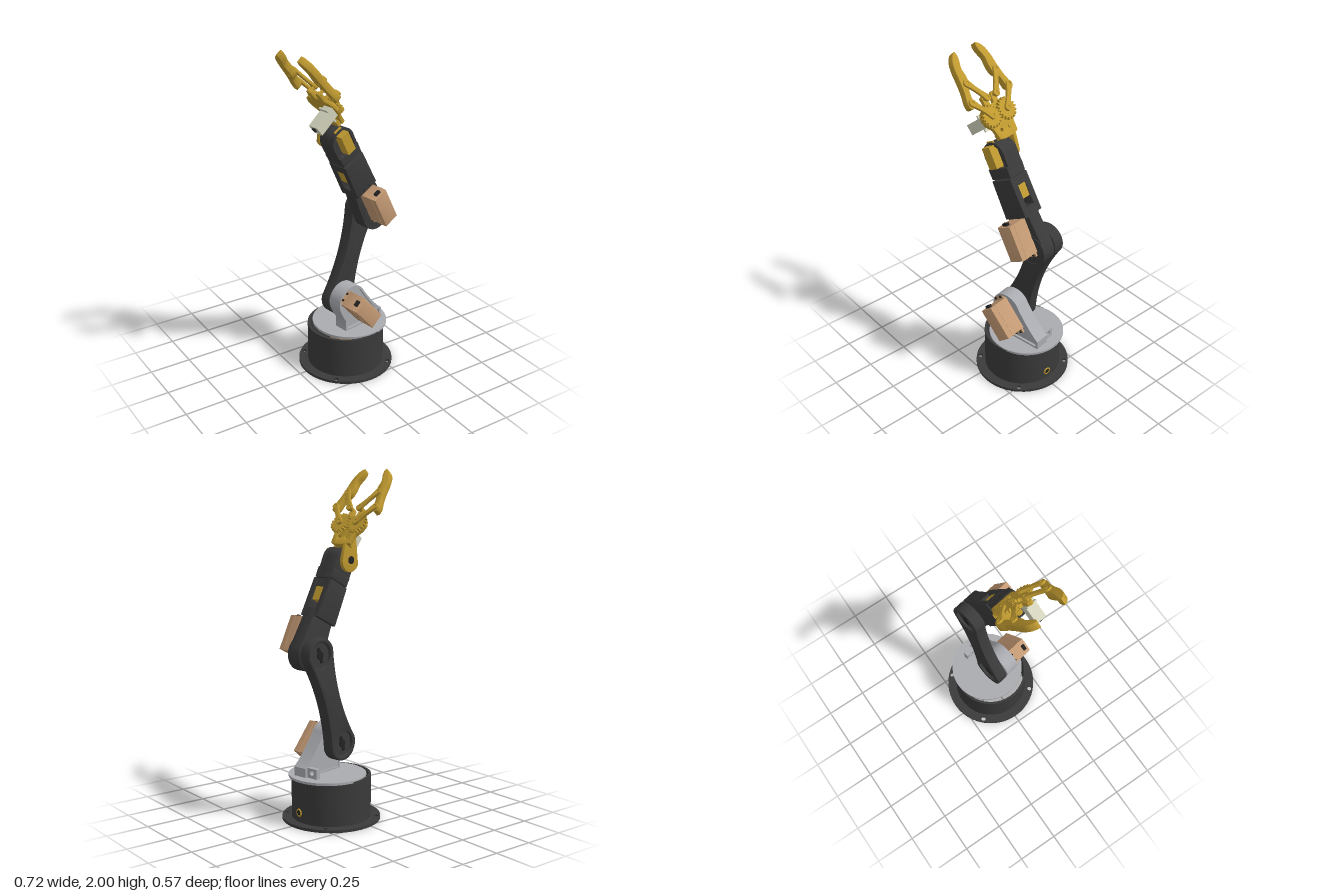
import * as THREE from 'three';
import { toCreasedNormals } from 'three/addons/utils/BufferGeometryUtils.js';

const mat = (color) => new THREE.MeshStandardMaterial({ color });
const DARK = mat(0x3a3a3a), GREY = mat(0xa9abb0), TAN = mat(0xc49a74), GOLD = mat(0xc09a30), PALE = mat(0xd2d2bc), BLACK = mat(0x222222);

function add(parent, name, geo, material, x = 0, y = 0, z = 0) {
  const m = new THREE.Mesh(geo, material);
  m.name = name;
  m.position.set(x, y, z);
  parent.add(m);
  return m;
}
function group(parent, name, x = 0, y = 0, z = 0) {
  const g = new THREE.Group();
  g.name = name;
  g.position.set(x, y, z);
  parent.add(g);
  return g;
}
const box = (parent, name, material, w, h, d, x, y, z) => add(parent, name, new THREE.BoxGeometry(w, h, d), material, x, y, z);

// Slab of a shape filling z0..z1, bevel kept inside that depth
function slab(shape, z0, z1, bevel = 0) {
  const g = new THREE.ExtrudeGeometry(shape, {
    depth: z1 - z0 - 2 * bevel, curveSegments: 24, bevelEnabled: bevel > 0,
    bevelThickness: bevel, bevelSize: bevel, bevelOffset: -bevel, bevelSegments: 2,
  });
  g.translate(0, 0, z0 + bevel);
  return toCreasedNormals(g, 0.6);
}
function hole(shape, x, y, r) {
  shape.holes.push(new THREE.Path().absarc(x, y, r, 0, Math.PI * 2, true));
  return shape;
}
const disc = (r, x = 0, y = 0) => new THREE.Shape().absarc(x, y, r, 0, Math.PI * 2, false);
const poly = (pts) => new THREE.Shape(pts.map((p) => new THREE.Vector2(p[0], p[1])));

// Limb outline along +y with two round ends and a given half width midway
function limb(L, r1, r2, waist) {
  const c = 2 * waist - (r1 + r2) / 2;
  const s = new THREE.Shape();
  s.moveTo(-r1, 0);
  s.absarc(0, 0, r1, Math.PI, Math.PI * 2, false);
  s.quadraticCurveTo(c, L / 2, r2, L);
  s.absarc(0, L, r2, 0, Math.PI, false);
  s.quadraticCurveTo(-c, L / 2, -r1, 0);
  return s;
}
// Straight sides from y0 to y1 with a round top
function tongue(w0, y0, w1, y1) {
  const s = new THREE.Shape();
  s.moveTo(-w0, y0);
  s.lineTo(w0, y0);
  s.lineTo(w1, y1);
  s.absarc(0, y1, w1, 0, Math.PI, false);
  s.closePath();
  return s;
}

// Servo lying with its long side on y, mounted at z = 0 and reaching to +z
function servo(parent, name, x, y, z, depth, angle) {
  const g = group(parent, name, x, y, z);
  g.rotation.z = angle;
  const body = poly([[-0.048, -0.105], [0.048, -0.105], [0.048, 0.105], [-0.048, 0.105]]);
  add(g, 'servoBody', slab(body, 0, depth, 0.005), TAN);
  box(g, 'servoSeam', TAN, 0.099, 0.213, 0.008, 0, 0, depth * 0.7);
  box(g, 'servoTab', TAN, 0.08, 0.26, 0.012, 0, 0, 0.012);
  box(g, 'servoPlug', BLACK, 0.035, 0.02, 0.02, 0, 0.11, depth * 0.8);
  for (const sx of [-1, 1]) for (const sy of [-1, 1]) {
    add(g, 'servoScrew', new THREE.SphereGeometry(0.008, 10, 8), BLACK, sx * 0.022, sy * 0.122, 0.018);
  }
  return g;
}

function buildBase(root) {
  const base = group(root, 'base', 0.075, 0, 0);
  const flange = hole(disc(0.285), 0, 0, 0.217);
  for (const a of [1, 3, 5, 7]) hole(flange, 0.262 * Math.cos(a * Math.PI / 4), 0.262 * Math.sin(a * Math.PI / 4), 0.014);
  add(base, 'baseFlange', slab(flange, 0, 0.016), DARK).rotation.x = -Math.PI / 2;
  add(base, 'baseWall', slab(hole(disc(0.23), 0, 0, 0.215), 0.01, 0.265), DARK).rotation.x = -Math.PI / 2;
  add(base, 'cableRing', new THREE.TorusGeometry(0.019, 0.005, 8, 20), GOLD, 0.23, 0.07, 0).rotation.y = Math.PI / 2;
  add(base, 'cableHole', new THREE.CylinderGeometry(0.017, 0.017, 0.012, 16), BLACK, 0.227, 0.07, 0).rotation.z = Math.PI / 2;
  box(base, 'baseServo', TAN, 0.22, 0.14, 0.1, 0.03, 0.18, 0);
  box(base, 'baseServoTab', TAN, 0.28, 0.012, 0.09, 0.03, 0.215, 0);
}

function buildShoulder(arm) {
  add(arm, 'turntable', new THREE.CylinderGeometry(0.224, 0.224, 0.014, 64), GREY, 0.032, 0.266, 0);
  // Upright bracket with a raised rim
  const outline = (k) => {
    const s = new THREE.Shape();
    s.moveTo(-0.09 + k, 0.268);
    s.lineTo(0.2 - k, 0.268);
    s.lineTo(0.2 - k, 0.325 - k / 2);
    s.quadraticCurveTo(0.14 - k, 0.37 - k, 0.048 - k, 0.503);
    s.absarc(-0.04, 0.455, 0.102 - k, 0.5, Math.PI, false);
    s.quadraticCurveTo(-0.135 + k, 0.41, -0.09 + k, 0.34);
    return s;
  };
  const rim = outline(0);
  rim.holes.push(new THREE.Path(outline(0.014).getPoints(24).reverse().map((p) => p.setY(Math.max(p.y, 0.285)))));
  add(arm, 'bracketRim', slab(rim, 0.012, 0.102), GREY);
  add(arm, 'bracketPlate', slab(outline(0.005), 0.018, 0.088), GREY);
  servo(arm, 'shoulderServo', -0.022, 0.42, 0.086, 0.14, 0.71);
  // Small eyelet on the turntable
  const lug = hole(poly([[-0.035, 0], [0.035, 0], [0.035, 0.06], [-0.035, 0.06]]), 0, 0.035, 0.015);
  add(arm, 'turntableLug', slab(lug, -0.015, 0.015), GREY, 0.17, 0.27, -0.022).rotation.y = Math.PI / 2;
}

function buildUpperArm(arm) {
  const g = group(arm, 'upperArm', -0.04, 0.44, 0);
  g.rotation.z = -0.328;
  const L = 0.565;
  const s = limb(L, 0.1, 0.1, 0.063);
  for (const y of [0, L]) hole(s, 0, y, 0.072);
  add(g, 'upperArmShell', slab(s, -0.064, 0.01, 0.008), DARK);
  for (const y of [0, L]) {
    add(g, 'jointDisc', slab(disc(0.08, 0, y), -0.046, 0.004), DARK);
    add(g, 'jointHub', slab(disc(0.022, 0, y), -0.054, 0.016), BLACK);
    box(g, 'servoHorn', BLACK, 0.02, 0.09, 0.008, 0, y, -0.049);
  }
}

function buildForearm(arm) {
  const g = group(arm, 'forearm', 0.142, 0.975, 0);
  g.rotation.z = 0.473;
  const lower = new THREE.Shape();
  lower.moveTo(-0.1, 0);
  lower.absarc(0, 0, 0.1, Math.PI, Math.PI * 2, false);
  lower.lineTo(0.077, 0.25);
  lower.lineTo(-0.077, 0.25);
  add(g, 'elbowShell', slab(lower, 0.015, 0.102, 0.007), DARK);
  add(g, 'elbowRim', slab(hole(disc(0.098), 0, 0, 0.084), 0.09, 0.106), DARK);
  servo(g, 'elbowServo', 0, 0.096, 0.098, 0.13, 0);
  // Hollow upper half: two walls, an end cap and the roll servo between them
  const wall = poly([[-0.079, 0.2], [0.079, 0.2], [0.073, 0.432], [-0.073, 0.432]]);
  add(g, 'frontWall', slab(wall, 0.082, 0.122, 0.005), DARK);
  add(g, 'backWall', slab(wall, -0.015, 0.026, 0.005), DARK);
  box(g, 'forearmCap', DARK, 0.146, 0.05, 0.12, 0, 0.406, 0.054);
  box(g, 'rollServo', GOLD, 0.14, 0.09, 0.056, 0, 0.345, 0.054);
  // Wrist block
  const collar = poly([[-0.073, 0.437], [0.073, 0.437], [0.075, 0.5], [-0.075, 0.5]]);
  add(g, 'wristCollar', slab(collar, -0.01, 0.116, 0.006), DARK);
  add(g, 'wristBlock', slab(tongue(0.073, 0.45, 0.076, 0.57), -0.008, 0.088, 0.006), DARK);
  const rim = tongue(0.074, 0.44, 0.077, 0.57);
  rim.holes.push(new THREE.Path(tongue(0.058, 0.47, 0.06, 0.57).getPoints(24).reverse()));
  add(g, 'wristRim', slab(rim, 0.08, 0.104), DARK);
  box(g, 'wristServo', GOLD, 0.058, 0.125, 0.062, 0, 0.57, 0.112);
  box(g, 'wristServoTab', GOLD, 0.05, 0.165, 0.01, 0, 0.57, 0.094);
}

function gear(r, teeth) {
  const pts = [];
  for (let i = 0; i < teeth; i++) {
    [[0, 0.87], [0.3, 0.87], [0.42, 1.07], [0.75, 1.07]].forEach(([f, k]) => {
      const a = (i + f) / teeth * Math.PI * 2;
      pts.push([r * k * Math.cos(a), r * k * Math.sin(a)]);
    });
  }
  return hole(poly(pts), 0, 0, 0.009);
}

function buildGripper(arm) {
  const tilt = group(arm, 'gripper', -0.17, 1.69, 0.011);
  tilt.rotation.z = 0.68;
  // Side plate that swings on the wrist
  const side = new THREE.Shape();
  side.moveTo(0, -0.05);
  side.lineTo(-0.05, -0.06);
  side.lineTo(-0.158, -0.165);
  side.absarc(-0.091, -0.184, 0.07, 2.86, 5.6, false);
  side.lineTo(0, -0.14);
  add(tilt, 'wristPlate', slab(side, -0.05, -0.026, 0.004), GOLD);
  add(tilt, 'wristHub', new THREE.CylinderGeometry(0.022, 0.022, 0.05, 20), BLACK, -0.091, -0.184, -0.03).rotation.x = Math.PI / 2;

  // Hand plane: x across, y towards the tips, z out of the palm
  const hand = group(tilt, 'hand');
  hand.rotation.y = Math.PI / 2;
  const half = [[0.035, -0.14], [0.07, -0.13], [0.08, -0.07], [0.108, -0.035], [0.118, 0], [0.105, 0.035], [0.08, 0.05], [0.052, 0.055], [0.052, 0.11], [0.037, 0.118], [0.02, 0.105], [0.012, 0.06]];
  const palm = poly([...half, ...half.map(([x, y]) => [-x, y]).reverse()]);
  for (const x of [-0.03, 0.03]) hole(palm, x, -0.09, 0.01);
  add(hand, 'palm', slab(palm, -0.024, 0, 0.003), GOLD);
  box(hand, 'palmFoot', GOLD, 0.12, 0.035, 0.03, 0, -0.115, -0.03);
  box(hand, 'gripServo', PALE, 0.065, 0.062, 0.14, -0.062, -0.01, -0.094);
  box(hand, 'gripServoTab', PALE, 0.065, 0.1, 0.01, -0.062, -0.01, -0.055);
  box(hand, 'gripServoPlug', BLACK, 0.02, 0.02, 0.01, -0.062, 0.0, -0.168);

  const outer = [[0.15, 0.078], [0.168, 0.085], [0.172, 0.115], [0.155, 0.175], [0.145, 0.24], [0.14, 0.29], [0.125, 0.345], [0.1, 0.378], [0.08, 0.388]];
  const inner = [[0.074, 0.368], [0.078, 0.34], [0.092, 0.295], [0.089, 0.25], [0.094, 0.205], [0.12, 0.165], [0.13, 0.1]];
  for (const k of [-1, 1]) {
    const name = k < 0 ? 'left' : 'right';
    const toV = ([x, y]) => new THREE.Vector2(k * x, y);
    const finger = new THREE.Shape();
    finger.moveTo(k * 0.15, 0.078);
    finger.splineThru(outer.slice(1).map(toV));
    finger.lineTo(k * 0.074, 0.368);
    finger.splineThru(inner.slice(1).map(toV));
    add(hand, name + 'Finger', slab(finger, -0.018, 0.022, 0.003), GOLD);
    add(hand, name + 'Gear', slab(gear(0.06, 18), 0, 0.018), GOLD, k * 0.062, 0, 0).rotation.z = k > 0 ? 0 : 0.08;
    // Parallel links with pivot pins
    for (const [ax, ay, bx, by] of [[0.062, 0, 0.148, 0.108], [0.037, 0.098, 0.116, 0.213]]) {
      const len = Math.hypot(bx - ax, by - ay);
      const bar = limb(len, 0.02, 0.02, 0.0135);
      hole(hole(bar, 0, 0, 0.009), 0, len, 0.009);
      const link = add(hand, name + 'Link', slab(bar, 0.018, 0.034, 0.002), GOLD, k * ax, ay, 0);
      link.rotation.z = -k * Math.atan2(bx - ax, by - ay);
      for (const [x, y] of [[ax, ay], [bx, by]]) {
        add(hand, name + 'Pin', new THREE.CylinderGeometry(0.0095, 0.0095, 0.05, 14), GOLD, k * x, y, 0.005).rotation.x = Math.PI / 2;
      }
    }
  }
}

export function createModel() {
  const root = new THREE.Group();
  root.name = 'roboticArm';
  buildBase(root);
  // Everything above the base is turned a little on the turntable
  const arm = group(root, 'arm', 0.075, 0, 0);
  arm.rotation.y = 0.17;
  buildShoulder(arm);
  buildUpperArm(arm);
  buildForearm(arm);
  buildGripper(arm);
  return root;
}
